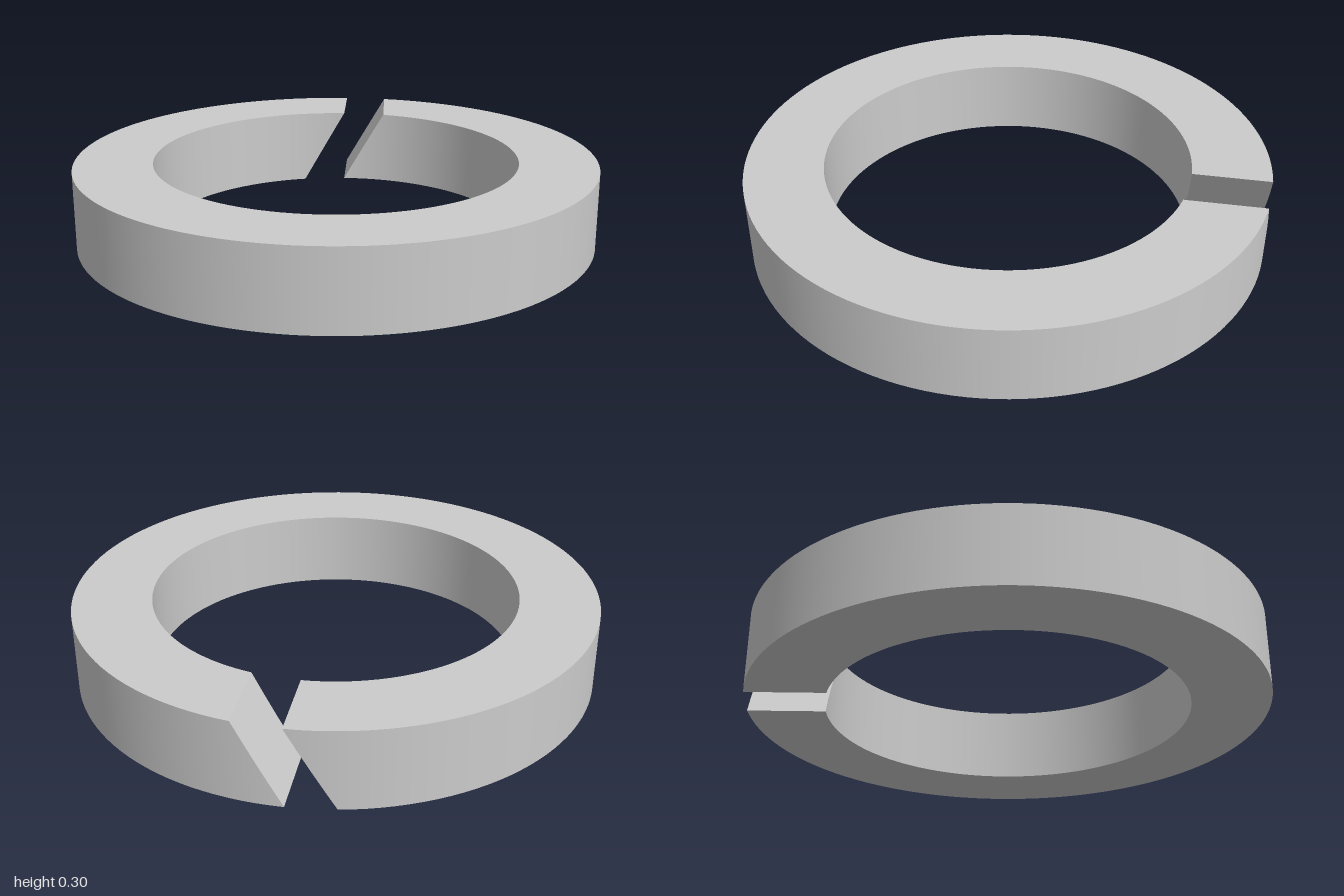
import * as THREE from 'three';
import { ParametricGeometry } from 'three/addons/geometries/ParametricGeometry.js';

const R_IN = 0.7, R_OUT = 1, HEIGHT = 0.3;
const SLOPE = Math.tan(Math.PI / 6); // lean of the split
const GAP = HEIGHT * SLOPE;          // width of the split along x

// Point of the split ring: t runs round the ring from one cut face to the
// other, r across the band, h up its height (all 0..1).
function ringPoint(t, r, h, target) {
  const radius = R_IN + (R_OUT - R_IN) * r;
  const y = HEIGHT * h;
  const start = Math.asin((SLOPE * y) / radius);
  const end = 2 * Math.PI + Math.asin((SLOPE * y - GAP) / radius);
  const a = start + (end - start) * t;
  target.set(radius * Math.sin(a), y, -radius * Math.cos(a));
}

export function createModel() {
  const group = new THREE.Group();
  group.name = 'splitLockWasher';
  const material = new THREE.MeshStandardMaterial({ color: 0xcccccc });
  const AROUND = 128, ACROSS = 4;

  const addFace = (name, fn, slices, stacks) => {
    const mesh = new THREE.Mesh(new ParametricGeometry(fn, slices, stacks), material);
    mesh.name = name;
    group.add(mesh);
  };

  // Curved walls
  addFace('outerWall', (u, v, p) => ringPoint(v, 1, u, p), ACROSS, AROUND);
  addFace('innerWall', (u, v, p) => ringPoint(u, 0, v, p), AROUND, ACROSS);

  // Flat rings
  addFace('topFace', (u, v, p) => ringPoint(u, v, 1, p), AROUND, ACROSS);
  addFace('bottomFace', (u, v, p) => ringPoint(v, u, 0, p), ACROSS, AROUND);

  // Slanted faces of the split
  addFace('leftCutFace', (u, v, p) => ringPoint(0, v, u, p), ACROSS, ACROSS);
  addFace('rightCutFace', (u, v, p) => ringPoint(1, u, v, p), ACROSS, ACROSS);

  return group;
}
